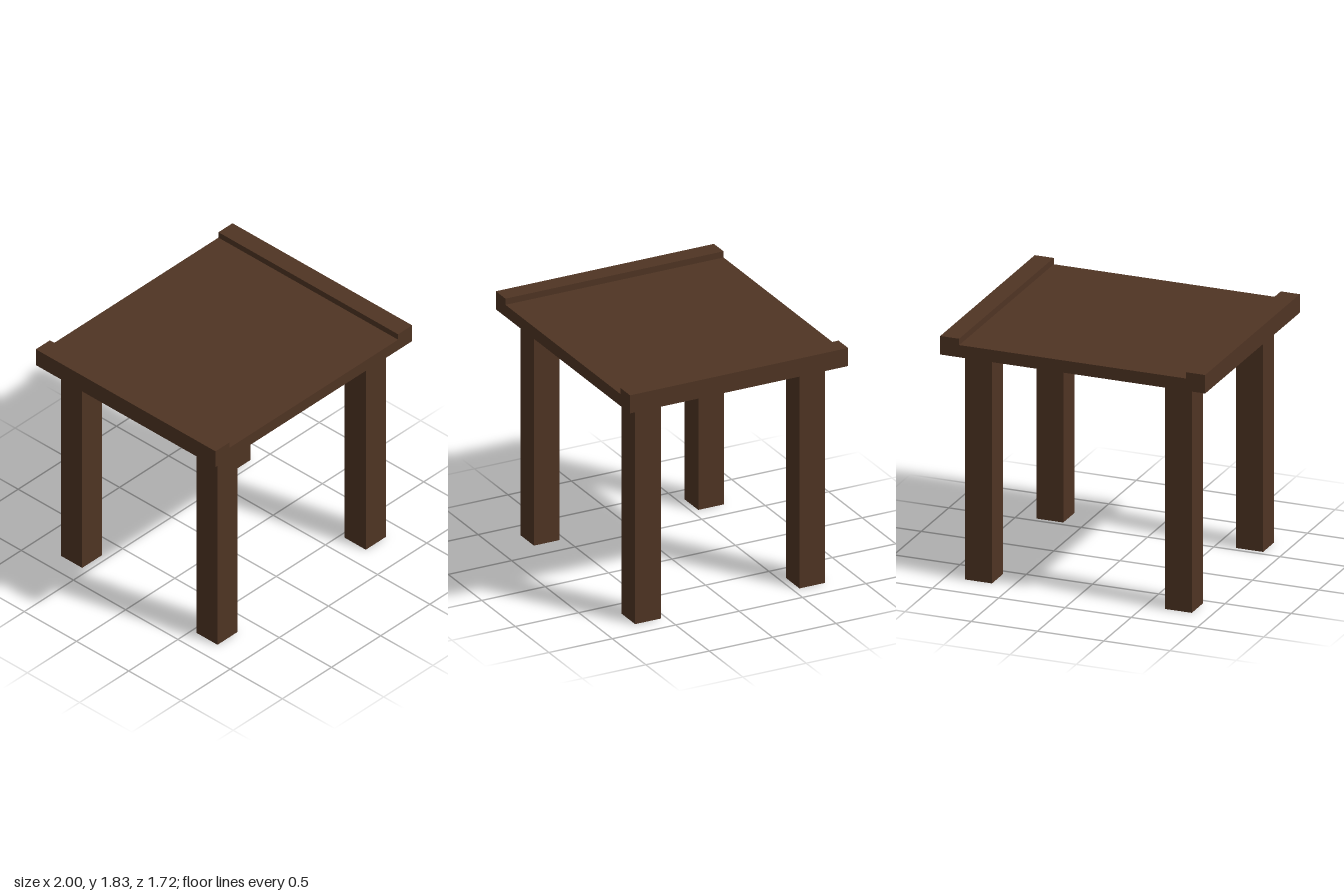
import * as THREE from 'three';

export function createModel() {
  const model = new THREE.Group();
  const wood = new THREE.MeshStandardMaterial({ color: 0x4f3423 });
  wood.name = 'dark brown wood';

  // Table top with a raised rail along each side, one extruded profile
  const bottom = 1.693, deck = 1.784, rail = 1.831, inner = 0.857, depth = 1.72;
  const profile = new THREE.Shape([
    [-1, bottom], [1, bottom], [1, rail], [inner, rail],
    [inner, deck], [-inner, deck], [-inner, rail], [-1, rail],
  ].map(([x, y]) => new THREE.Vector2(x, y)));
  const topGeometry = new THREE.ExtrudeGeometry(profile, { depth, bevelEnabled: false });
  topGeometry.translate(0, 0, -depth / 2);
  const top = new THREE.Mesh(topGeometry, wood);
  top.name = 'tableTop';
  model.add(top);

  // Four square legs, the back pair set slightly further out
  const legGeometry = new THREE.BoxGeometry(0.203, bottom, 0.203);
  for (const [end, z] of [['front', 0.642], ['back', -0.654]]) {
    for (const [side, x] of [['Left', 0.754], ['Right', -0.754]]) {
      const leg = new THREE.Mesh(legGeometry, wood);
      leg.name = `${end}${side}Leg`;
      leg.position.set(x, bottom / 2, z);
      model.add(leg);
    }
  }
  return model;
}
